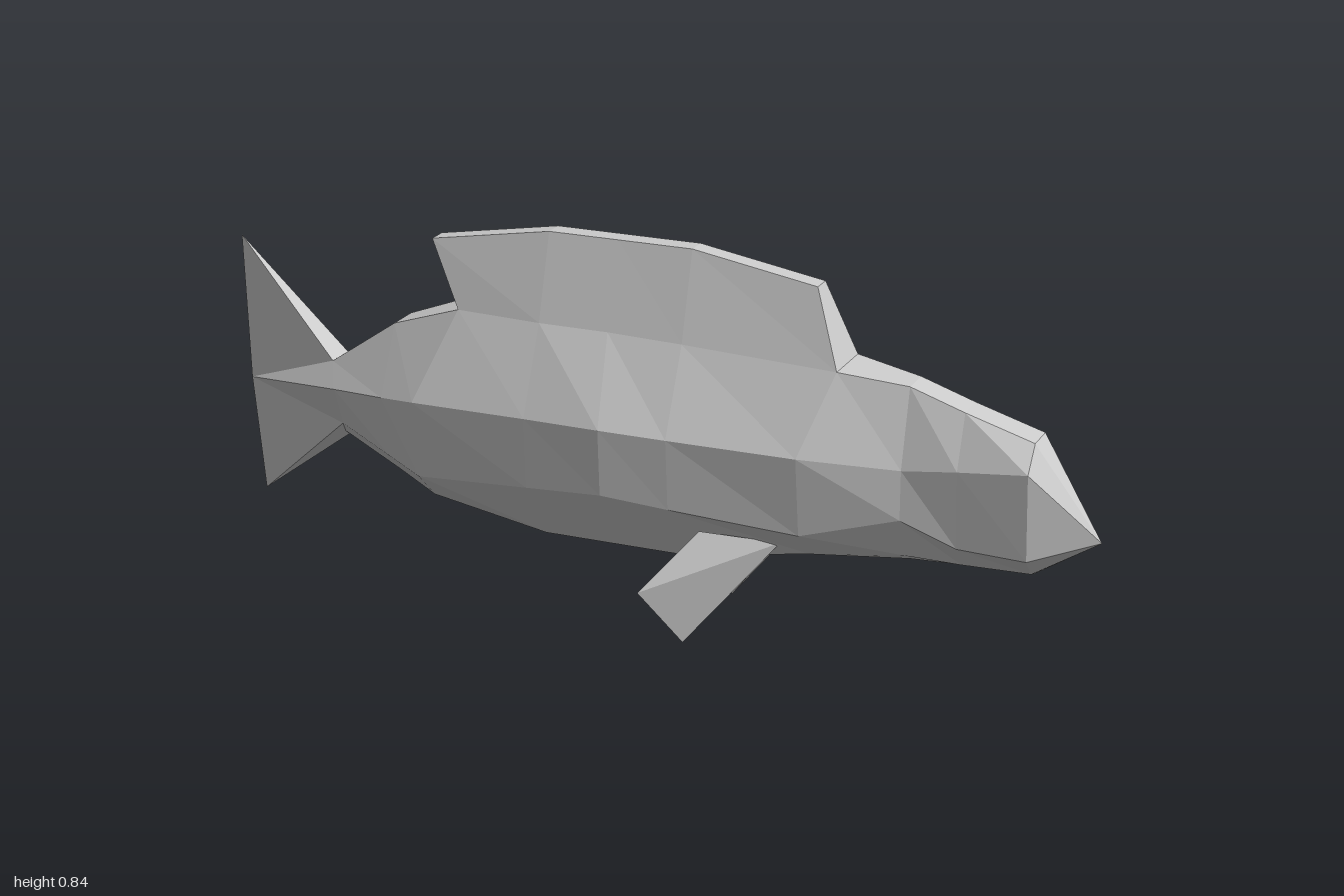
import * as THREE from 'three';

const material = new THREE.MeshStandardMaterial({ color: 0xcccccc, flatShading: true, side: THREE.DoubleSide });

// Mesh from a list of triangles, each made of three [x, y, z] corners.
function facetMesh(name, triangles) {
  const geometry = new THREE.BufferGeometry();
  geometry.setAttribute('position', new THREE.Float32BufferAttribute(triangles.flat(2), 3));
  geometry.computeVertexNormals();
  const mesh = new THREE.Mesh(geometry, material);
  mesh.name = name;
  return mesh;
}

const flip = ([x, y, z]) => [x, y, -z];
const mirror = (triangles) => triangles.map(([a, b, c]) => [flip(a), flip(c), flip(b)]);
const same = (a, b) => a.every((v, i) => v === b[i]);

// Skin half sections (listed front to back, bottom to top) and mirror them.
function loft(halves) {
  const rings = halves.map((h) => [...h, ...h.map(flip).reverse()]);
  const triangles = [];
  const add = (a, b, c) => {
    if (!same(a, b) && !same(b, c) && !same(a, c)) triangles.push([a, b, c]);
  };
  for (let i = 0; i < rings.length - 1; i++) {
    const r = rings[i], s = rings[i + 1];
    for (let j = 0; j < r.length - 1; j++) {
      add(r[j], r[j + 1], s[j + 1]);
      add(r[j], s[j + 1], s[j]);
    }
  }
  // End caps
  const first = rings[0], last = rings[rings.length - 1];
  for (let j = 1; j < first.length - 1; j++) {
    add(first[0], first[j + 1], first[j]);
    add(last[0], last[j], last[j + 1]);
  }
  return triangles;
}

// Half section: keel, rounded belly, lower flank, widest line, back edge
function section(x, keelY, [flankY, flankZ], [wideY, wideZ], back) {
  const bellyY = keelY + 0.15 * (flankY - keelY);
  return [[x, keelY, 0], [x, bellyY, 0.36 * flankZ], [x, flankY, flankZ], [x, wideY, wideZ], back];
}

const nose = [1, 0.32, 0];
const tailPoint = [-0.99, 0.41, 0];

const head = [
  section(0.86, 0.23, [0.28, 0.065], [0.475, 0.08], [0.86, 0.53, 0.036]),
  section(0.71, 0.225, [0.285, 0.065], [0.46, 0.08], [0.71, 0.575, 0.036]),
  section(0.59, 0.22, [0.335, 0.08], [0.445, 0.08], [0.59, 0.615, 0.036]),
];
const trunk = [
  section(0.38, 0.2, [0.28, 0.115], [0.46, 0.14], [0.44, 0.635, 0.065]),
  section(0.1, 0.145, [0.31, 0.155], [0.47, 0.168], [0.1, 0.655, 0.08]),
  section(-0.05, 0.145, [0.325, 0.17], [0.475, 0.18], [-0.07, 0.66, 0.08]),
  section(-0.23, 0.145, [0.31, 0.155], [0.47, 0.164], [-0.23, 0.66, 0.08]),
  section(-0.51, 0.2, [0.28, 0.115], [0.46, 0.14], [-0.43, 0.66, 0.065]),
];
const tailStem = [
  section(-0.6, 0.245, [0.305, 0.083], [0.45, 0.113], [-0.6, 0.6, 0.04]),
  section(-0.74, 0.31, [0.345, 0.035], [0.437, 0.072], [-0.76, 0.49, 0.035]),
];
const body = [Array(5).fill(nose), ...head, ...trunk, ...tailStem, Array(5).fill(tailPoint)];

// Dorsal fin rises from the back edge of the trunk to this crest.
const crest = [[0.38, 0.8], [0.1, 0.848], [-0.07, 0.848], [-0.23, 0.848], [-0.51, 0.8]];
const dorsal = crest.map(([x, y], i) => [trunk[i][4], [x, y, 0.023]]);

// Tail lobes grow out of the last stem section.
const [keel, , flank, , back] = tailStem[1];
const upperTip = [-1, 0.745, 0], lowerTip = [-0.965, 0.145, 0];
const upperSide = [[back, upperTip, tailPoint]];
const lowerSide = [[flank, tailPoint, lowerTip], [flank, lowerTip, keel]];
const upperFront = [back, flip(back), upperTip];

// Pectoral fin on the +z side
const root = [0.16, 0.26, 0.125], rear = [0.055, 0.135, 0.213], tip = [0.13, 0.005, 0.142];
const front = [0.32, 0.235, 0.06], inner = [0.27, 0.185, 0.04];
const pectoral = [
  [root, rear, front], [rear, tip, front], [front, tip, inner],
  [root, inner, rear], [rear, inner, tip],
];

export function createModel() {
  const group = new THREE.Group();
  group.name = 'fish';
  group.add(
    facetMesh('body', loft(body)),
    facetMesh('dorsalFin', loft(dorsal)),
    facetMesh('upperTailLobe', [...upperSide, ...mirror(upperSide), upperFront]),
    facetMesh('lowerTailLobe', [...lowerSide, ...mirror(lowerSide)]),
    facetMesh('leftPectoralFin', mirror(pectoral)),
    facetMesh('rightPectoralFin', pectoral),
  );
  return group;
}
